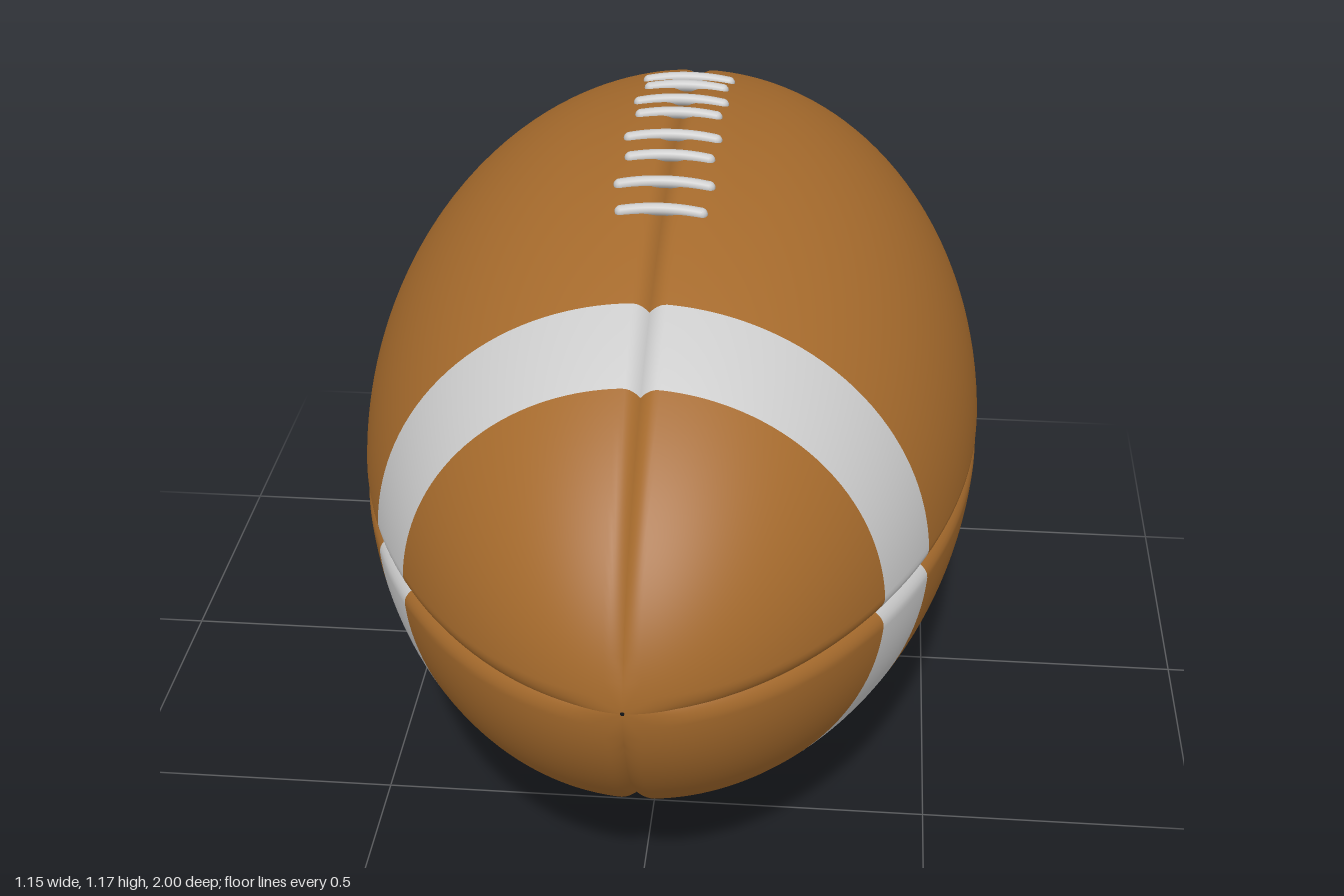
import * as THREE from 'three';
import { ParametricGeometry } from 'three/addons/geometries/ParametricGeometry.js';

const CENTER_Y = 0.576, RADIUS = 0.576;
const leather = new THREE.MeshStandardMaterial({ color: 0xa56a2c });
const white = new THREE.MeshStandardMaterial({ color: 0xcccccc });

// Point on the skin: a is the angle round the z axis, th runs from tip to tip.
function skinPoint(a, th, target, grooved = true) {
  const z = Math.sin(th);
  let r = RADIUS * Math.pow(Math.cos(th), 1.1);

  // Panels roll inwards where they meet at the four seams.
  if (grooved) {
    const quarter = Math.PI / 2;
    const fromSeam = r * Math.abs(a - Math.round(a / quarter) * quarter);
    const width = Math.min(0.03, r * 0.5);
    const roll = Math.max(0, 1 - fromSeam / width);
    r -= 0.017 * Math.min(1, r / 0.1) * roll * roll;
  }

  // Slightly raised patch under the laces.
  if (Math.sin(a) > 0) {
    const x = r * Math.cos(a);
    r += 0.005 * Math.exp(-Math.pow(x / 0.12, 4) - Math.pow(z / 0.36, 4));
  }
  return target.set(r * Math.cos(a), CENTER_Y + r * Math.sin(a), z);
}

// One quarter panel between two values of z, with finer steps near its seams.
function panelGeometry(quadrant, z0, z1, stacks) {
  const limit = Math.PI / 2 - 0.01;
  const clampTh = (z) => THREE.MathUtils.clamp(Math.asin(z), -limit, limit);
  const th0 = clampTh(z0), th1 = clampTh(z1);
  return new ParametricGeometry((u, v, target) => {
    const eased = 0.15 * u + 0.85 * (0.5 - 0.5 * Math.cos(Math.PI * u));
    skinPoint((quadrant + eased) * Math.PI / 2, th0 + (th1 - th0) * v, target);
  }, 48, stacks);
}

// A raised stitch that bends over the top seam.
function makeLace(z, left, right) {
  const lace = new THREE.Group();
  lace.name = 'lace';
  const th = Math.asin(z), points = [];
  for (let i = 0; i <= 8; i++) {
    const x = THREE.MathUtils.lerp(left, right, i / 8);
    const r = RADIUS * Math.pow(Math.cos(th), 1.1);
    const p = skinPoint(Math.acos(x / r), th, new THREE.Vector3(), false);
    p.y += 0.002 * Math.sin(Math.PI * i / 8);
    points.push(p);
  }
  const curve = new THREE.CatmullRomCurve3(points);
  const cord = new THREE.Mesh(new THREE.TubeGeometry(curve, 20, 0.011, 10), white);
  cord.name = 'laceCord';
  lace.add(cord);
  for (const p of [points[0], points[8]]) {
    const end = new THREE.Mesh(new THREE.SphereGeometry(0.011, 10, 8), white);
    end.name = 'laceEnd';
    end.position.copy(p);
    lace.add(end);
  }
  return lace;
}

export function createModel() {
  const ball = new THREE.Group();
  ball.name = 'ball';

  // Leather skin with two white bands, made of four panels each.
  const sections = [
    ['backTip', -1, -0.685, 28, leather],
    ['backStripe', -0.685, -0.53, 8, white],
    ['middle', -0.53, 0.53, 36, leather],
    ['frontStripe', 0.53, 0.685, 8, white],
    ['frontTip', 0.685, 1, 28, leather],
  ];
  for (const [name, z0, z1, stacks, material] of sections) {
    const section = new THREE.Group();
    section.name = name;
    for (let q = 0; q < 4; q++) {
      const panel = new THREE.Mesh(panelGeometry(q, z0, z1, stacks), material);
      panel.name = name + 'Panel';
      section.add(panel);
    }
    ball.add(section);
  }

  // Eight laces across the top seam.
  const laces = new THREE.Group();
  laces.name = 'laces';
  [-0.3, -0.22, -0.12, -0.045, 0.06, 0.14, 0.23, 0.31].forEach((z, i) => {
    laces.add(makeLace(z, i % 2 ? -0.07 : -0.08, i % 2 ? 0.068 : 0.075));
  });
  ball.add(laces);
  return ball;
}
